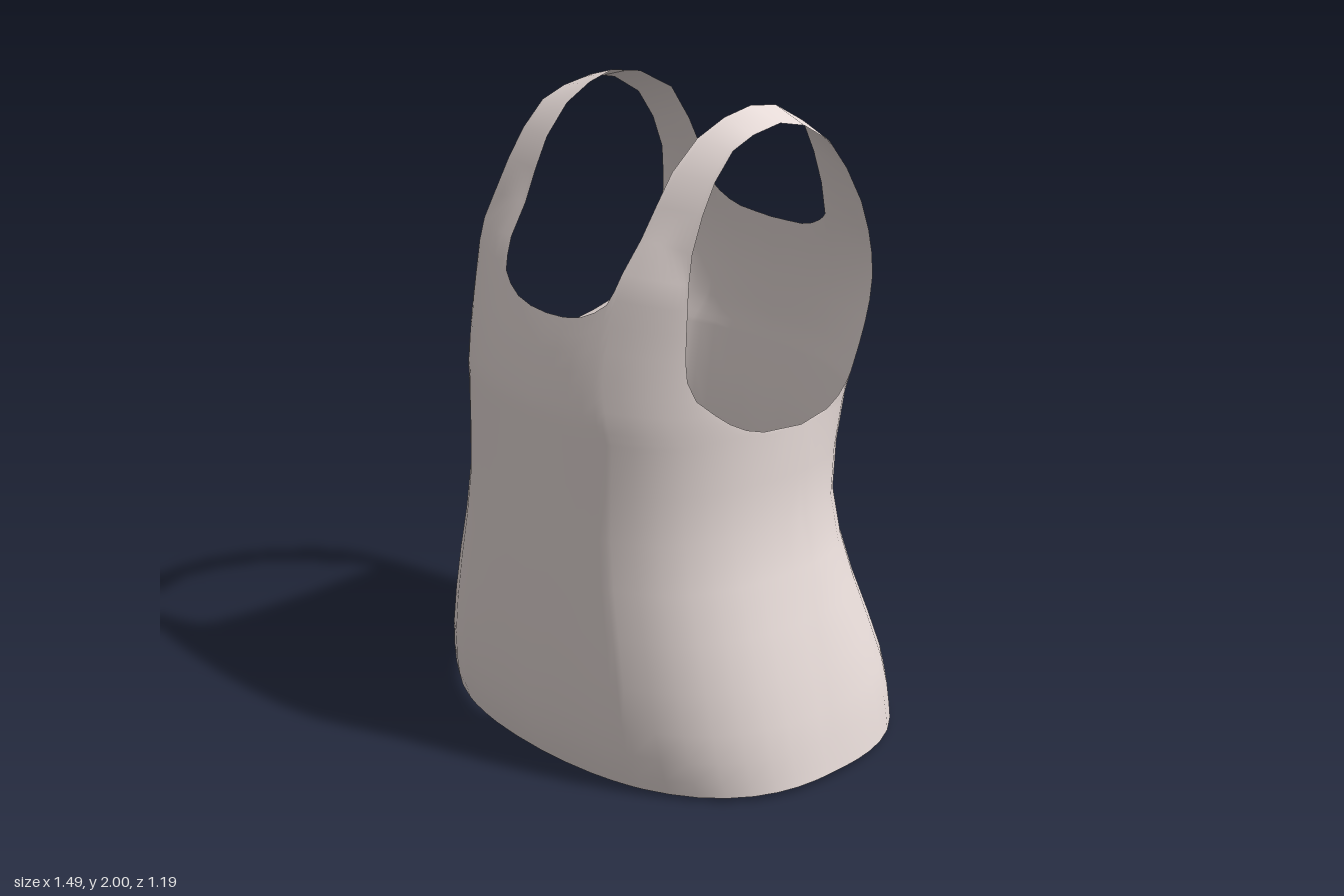
import * as THREE from 'three';
import { mergeVertices } from 'three/addons/utils/BufferGeometryUtils.js';

// Smooth lookup in [key, value] pairs that never overshoots its neighbours
function look(table, k) {
  const last = table.length - 1;
  const slope = i => (table[i + 1][1] - table[i][1]) / (table[i + 1][0] - table[i][0]);
  const tangent = i => {
    if (i === 0) return slope(0);
    if (i === last) return slope(last - 1);
    const a = slope(i - 1), b = slope(i);
    return a * b > 0 ? 2 * a * b / (a + b) : 0;
  };
  let i = 0;
  while (i < last - 1 && k > table[i + 1][0]) i++;
  const [k0, v0] = table[i], [k1, v1] = table[i + 1];
  const h = k1 - k0, t = Math.min(1, Math.max(0, (k - k0) / h)), u = 1 - t;
  return v0 * (1 + 2 * t) * u * u + tangent(i) * h * t * u * u
    + v1 * (3 - 2 * t) * t * t - tangent(i + 1) * h * t * t * u;
}

// Half-width of the oval each level lies on
const sideSeam = [[0, 0.75], [0.2, 0.718], [0.5, 0.645], [0.8, 0.57], [0.95, 0.565], [1.1, 0.567]];
const ovalX = [...sideSeam, [1.58, 0.575]];

// Each side: half-width of its cloth (side seam, then armhole edge), depth,
// roundness (superellipse power) and neckline height across the columns
const front = {
  sign: 1,
  edge: [...sideSeam, [1.115, 0.56], [1.13, 0.552], [1.2, 0.518], [1.27, 0.48], [1.35, 0.467],
    [1.5, 0.457], [1.58, 0.447]],
  depth: [[0, 0.545], [0.1, 0.577], [0.3, 0.595], [0.6, 0.588], [0.9, 0.573], [1.15, 0.56],
    [1.25, 0.54], [1.35, 0.512], [1.42, 0.487], [1.5, 0.457], [1.58, 0.42]],
  power: [[0, 2.4], [0.8, 2.5], [1.1, 2.6], [1.35, 2.75], [1.58, 3.1]],
  neck: [[0, 1.42], [0.1, 1.424], [0.19, 1.437], [0.26, 1.46], [0.32, 1.49], [0.345, 1.53], [0.366, 1.58]],
};
const back = {
  sign: -1,
  edge: [...sideSeam, [1.115, 0.557], [1.13, 0.545], [1.2, 0.5], [1.3, 0.473], [1.4, 0.464],
    [1.5, 0.457], [1.58, 0.447]],
  depth: [[0, 0.585], [0.1, 0.592], [0.2, 0.58], [0.5, 0.472], [0.6, 0.442], [0.8, 0.415],
    [1.05, 0.442], [1.2, 0.463], [1.35, 0.466], [1.5, 0.452], [1.58, 0.435]],
  power: [[0, 2.4], [0.5, 2.2], [0.8, 2.15], [1.1, 2.4], [1.2, 2.75], [1.35, 3.8], [1.45, 4.6], [1.58, 5]],
  neck: [[0, 1.515], [0.19, 1.522], [0.26, 1.535], [0.32, 1.555], [0.345, 1.567], [0.366, 1.58]],
};

const columns = [0, 0.1, 0.19, 0.26, 0.32, 0.345, 0.366, 0.45, 0.54, 0.63, 0.72, 0.8, 0.87, 0.93, 0.97, 1];
const strapStart = columns.indexOf(0.366);
const lowerRows = [0, 0.06, 0.13, 0.22, 0.35, 0.5, 0.65, 0.8, 0.95, 1.1];
const upperRows = [0.03, 0.07, 0.13, 0.2, 0.3, 0.42, 0.55, 0.7, 0.85, 1];

// Point on the cloth at column s (0 centre, 1 edge) and height y
function clothPoint(side, s, y) {
  const x = look(side.edge, y) * Math.sin(s * Math.PI / 2);
  const n = look(side.power, y);
  const ratio = Math.min(1, x / look(ovalX, y));
  const z = look(side.depth, y) * Math.pow(1 - Math.pow(ratio, n), 1 / n);
  return [x, y, side.sign * z];
}

// Rows of points for half of the front or back, hem to neckline
function panelRows(side) {
  const lower = lowerRows.map(y => columns.map(s => clothPoint(side, s, y === 0 ? 0.02 * s : y)));
  const upper = upperRows.map(f => columns.map(s =>
    clothPoint(side, s, 1.1 + (look(side.neck, s) - 1.1) * f)));
  return [...lower, ...upper];
}

// Strap stations over the shoulder: neck edge x, y, z then arm edge x, y, z
const stations = [
  [0.252, 1.67, 0.345, 0.43, 1.66, 0.315],
  [0.262, 1.76, 0.295, 0.42, 1.76, 0.265],
  [0.27, 1.85, 0.24, 0.413, 1.845, 0.21],
  [0.28, 1.935, 0.15, 0.408, 1.92, 0.135],
  [0.288, 1.98, 0.05, 0.405, 1.95, 0.05],
  [0.297, 2, -0.05, 0.405, 1.965, -0.06],
  [0.29, 1.98, -0.16, 0.406, 1.94, -0.16],
  [0.28, 1.91, -0.285, 0.41, 1.875, -0.265],
  [0.268, 1.8, -0.35, 0.418, 1.78, -0.335],
  [0.258, 1.69, -0.398, 0.432, 1.67, -0.388],
];

function strapRows(frontTop, backTop) {
  const count = columns.length - strapStart;
  const middle = stations.map(p => Array.from({ length: count }, (_, i) => {
    const t = i / (count - 1);
    return [0, 1, 2].map(k => p[k] + (p[k + 3] - p[k]) * t);
  }));
  return [frontTop.slice(strapStart), ...middle, backTop.slice(strapStart)];
}

// Adds a grid of rows as triangles, for both halves of the garment
function addMirrored(out, rows, flip) {
  for (const m of [1, -1]) {
    const reverse = flip !== (m < 0);
    const put = (...pts) => {
      if (reverse) pts.reverse();
      for (const p of pts) out.push(p[0] * m, p[1], p[2]);
    };
    for (let j = 0; j < rows.length - 1; j++) {
      for (let i = 0; i < rows[j].length - 1; i++) {
        const a = rows[j][i], b = rows[j][i + 1], c = rows[j + 1][i + 1], d = rows[j + 1][i];
        put(a, b, c);
        put(a, c, d);
      }
    }
  }
}

export function createModel() {
  const group = new THREE.Group();
  group.name = 'tankTop';

  // Front, back and shoulder straps joined into one smooth sheet of cloth
  const positions = [];
  const frontRows = panelRows(front), backRows = panelRows(back);
  addMirrored(positions, frontRows, false);
  addMirrored(positions, backRows, true);
  addMirrored(positions, strapRows(frontRows.at(-1), backRows.at(-1)), false);

  let geometry = new THREE.BufferGeometry();
  geometry.setAttribute('position', new THREE.Float32BufferAttribute(positions, 3));
  geometry = mergeVertices(geometry, 1e-4);
  geometry.computeVertexNormals();

  const cloth = new THREE.MeshStandardMaterial({ color: 0xe8dcd9, side: THREE.DoubleSide });
  const shirt = new THREE.Mesh(geometry, cloth);
  shirt.name = 'shirtCloth';
  group.add(shirt);
  return group;
}
